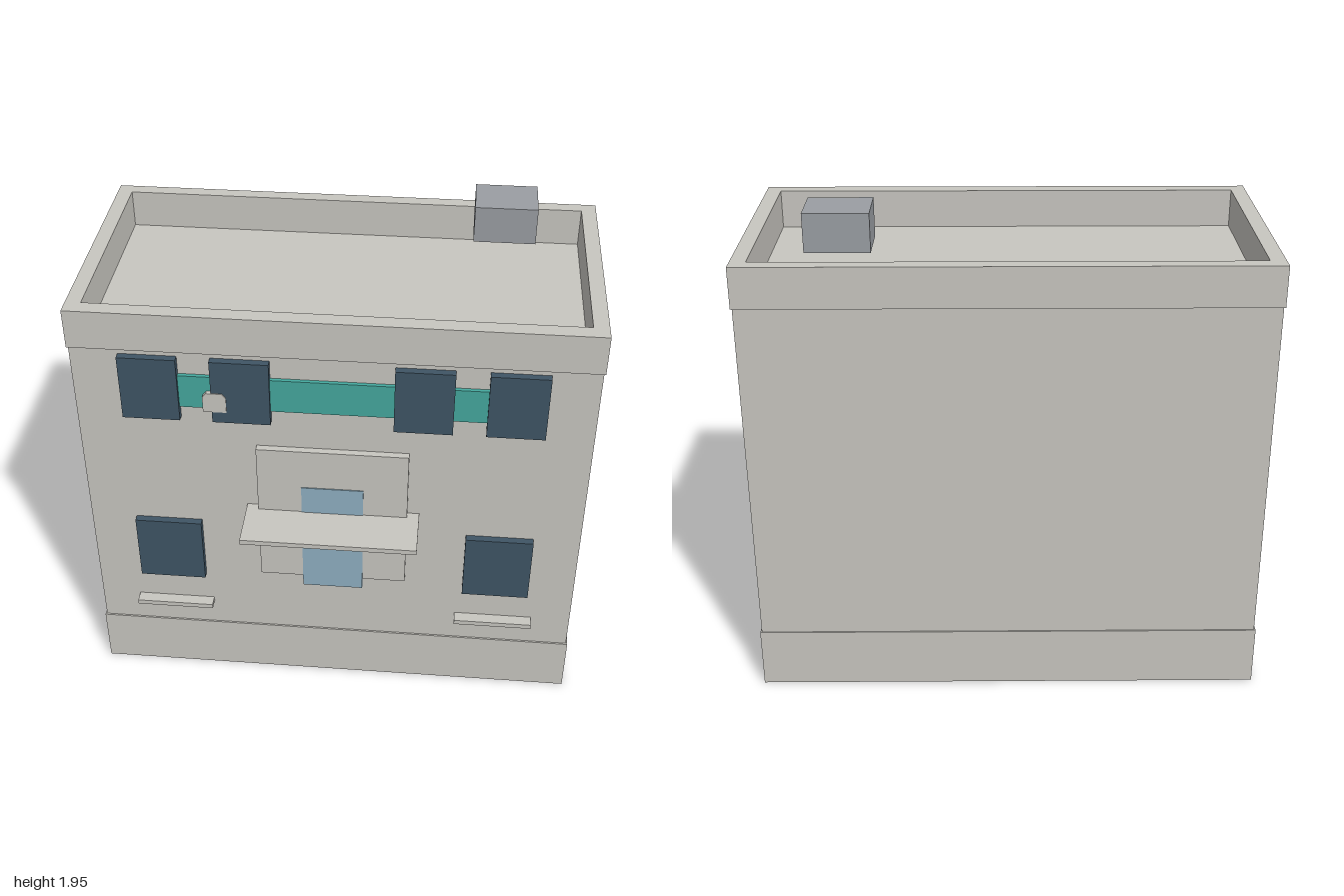
import * as THREE from 'three';

const paint = (name, color) => {
  const m = new THREE.MeshStandardMaterial({ color });
  m.name = name;
  return m;
};

export function createModel() {
  const wall = paint('wall stone', 0xc8c6c0);
  const glass = paint('dark window', 0x3f5565);
  const teal = paint('teal band', 0x45a89e);
  const doorBlue = paint('door blue', 0x8fafc1);
  const metal = paint('roof unit grey', 0x9a9ea3);

  const model = new THREE.Group();
  model.name = 'building';

  const add = (name, geometry, material) => {
    const mesh = new THREE.Mesh(geometry, material);
    mesh.name = name;
    model.add(mesh);
    return mesh;
  };
  // Box given by its limits on each axis
  const box = (name, material, [x0, x1], [y0, y1], [z0, z1]) =>
    add(name, new THREE.BoxGeometry(x1 - x0, y1 - y0, z1 - z0), material)
      .position.set((x0 + x1) / 2, (y0 + y1) / 2, (z0 + z1) / 2);

  // Main block between a slightly wider plinth and parapet
  box('plinth', wall, [-1, 1], [0, 0.245], [-0.612, 0.396]);
  box('body', wall, [-0.994, 0.994], [0.2, 1.645], [-0.607, 0.389]);

  // Parapet ring around the sunken roof
  const ring = new THREE.Shape([
    new THREE.Vector2(-1, -0.396), new THREE.Vector2(1, -0.396),
    new THREE.Vector2(1, 0.612), new THREE.Vector2(-1, 0.612),
  ]);
  ring.holes.push(new THREE.Path([
    new THREE.Vector2(-0.94, -0.332), new THREE.Vector2(-0.94, 0.556),
    new THREE.Vector2(0.94, 0.556), new THREE.Vector2(0.94, -0.332),
  ]));
  const ringGeometry = new THREE.ExtrudeGeometry(ring, { depth: 0.16, bevelEnabled: false });
  ringGeometry.rotateX(-Math.PI / 2);
  add('parapet', ringGeometry, wall).position.y = 1.64;

  // Rooftop unit
  box('roofUnit', metal, [0.5, 0.745], [1.8, 1.95], [-0.46, -0.26]);

  // Windows and sills, mirrored left and right
  for (const s of [-1, 1]) {
    const span = (a, b) => (s > 0 ? [a, b] : [-b, -a]);
    box('upperOuterWindow', glass, span(0.585, 0.808), [1.345, 1.62], [0.38, 0.419]);
    box('upperInnerWindow', glass, span(0.235, 0.459), [1.345, 1.62], [0.38, 0.419]);
    box('lowerWindow', glass, span(0.537, 0.808), [0.525, 0.822], [0.38, 0.419]);
    box('sill', wall, span(0.512, 0.833), [0.365, 0.386], [0.38, 0.437]);
  }
  box('tealBand', teal, [-0.6, 0.6], [1.4, 1.543], [0.38, 0.405]);

  // Small rounded plaque beside the inner window
  const plaque = new THREE.Shape([
    [-0.045, -0.043], [0.045, -0.043], [0.045, 0.025], [0.03, 0.042], [-0.03, 0.042], [-0.045, 0.025],
  ].map(([x, y]) => new THREE.Vector2(x, y)));
  add('plaque', new THREE.ExtrudeGeometry(plaque, { depth: 0.035, bevelEnabled: false }), wall)
    .position.set(-0.447, 1.438, 0.388);

  // Entrance: surround, door and canopy
  box('doorSurround', wall, [-0.298, 0.298], [0.575, 1.222], [0.38, 0.418]);
  box('door', doorBlue, [-0.123, 0.123], [0.525, 1.046], [0.38, 0.422]);
  box('canopy', wall, [-0.346, 0.346], [0.9, 0.921], [0.38, 0.612]);

  return model;
}
